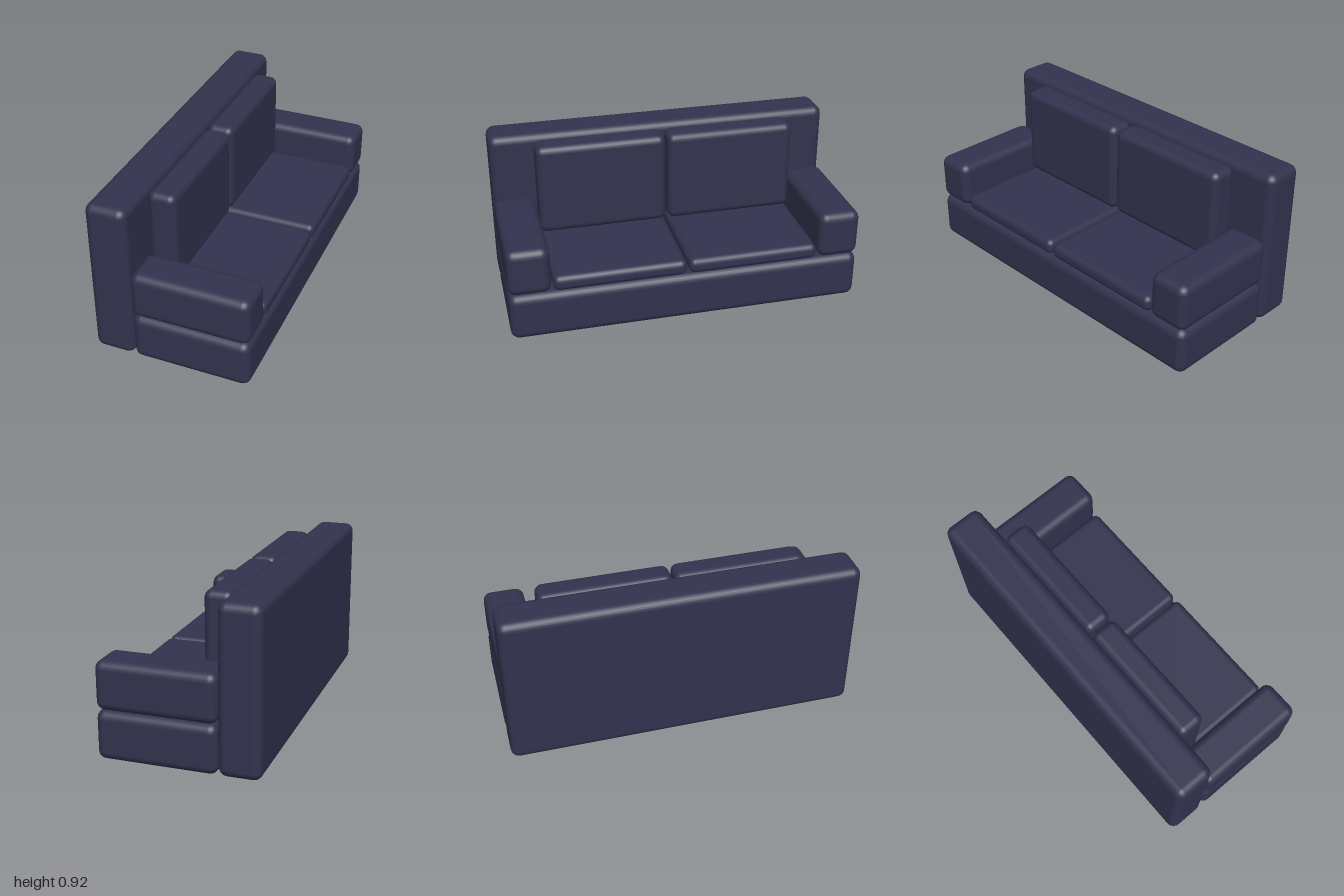
import * as THREE from 'three';
import { RoundedBoxGeometry } from 'three/addons/geometries/RoundedBoxGeometry.js';

export function createModel() {
  const sofa = new THREE.Group();
  sofa.name = 'sofa';
  const fabric = new THREE.MeshStandardMaterial({ color: 0x32324e });
  fabric.name = 'navy fabric';

  // Soft block given by its extents along each axis
  function block(name, [x0, x1], [y0, y1], [z0, z1], radius) {
    const geometry = new RoundedBoxGeometry(x1 - x0, y1 - y0, z1 - z0, 3, radius);
    const mesh = new THREE.Mesh(geometry, fabric);
    mesh.position.set((x0 + x1) / 2, (y0 + y1) / 2, (z0 + z1) / 2);
    mesh.name = name;
    sofa.add(mesh);
  }

  // Frame: the seat opens towards +x
  block('backrest', [-0.45, -0.218], [0, 0.92], [-1, 1], 0.048);
  block('base', [-0.218, 0.448], [0, 0.275], [-1, 1], 0.048);

  // Armrests and cushions, mirrored across the middle
  for (const [side, s] of [['left', 1], ['right', -1]]) {
    const span = (a, b) => (s > 0 ? [a, b] : [-b, -a]);
    block(side + 'Armrest', [-0.218, 0.448], [0.275, 0.547], span(0.763, 1), 0.048);
    block(side + 'SeatCushion', [-0.218, 0.443], [0.275, 0.365], span(0.006, 0.753), 0.036);
    block(side + 'BackCushion', [-0.218, -0.06], [0.365, 0.9], span(0.006, 0.753), 0.042);
  }
  return sofa;
}
